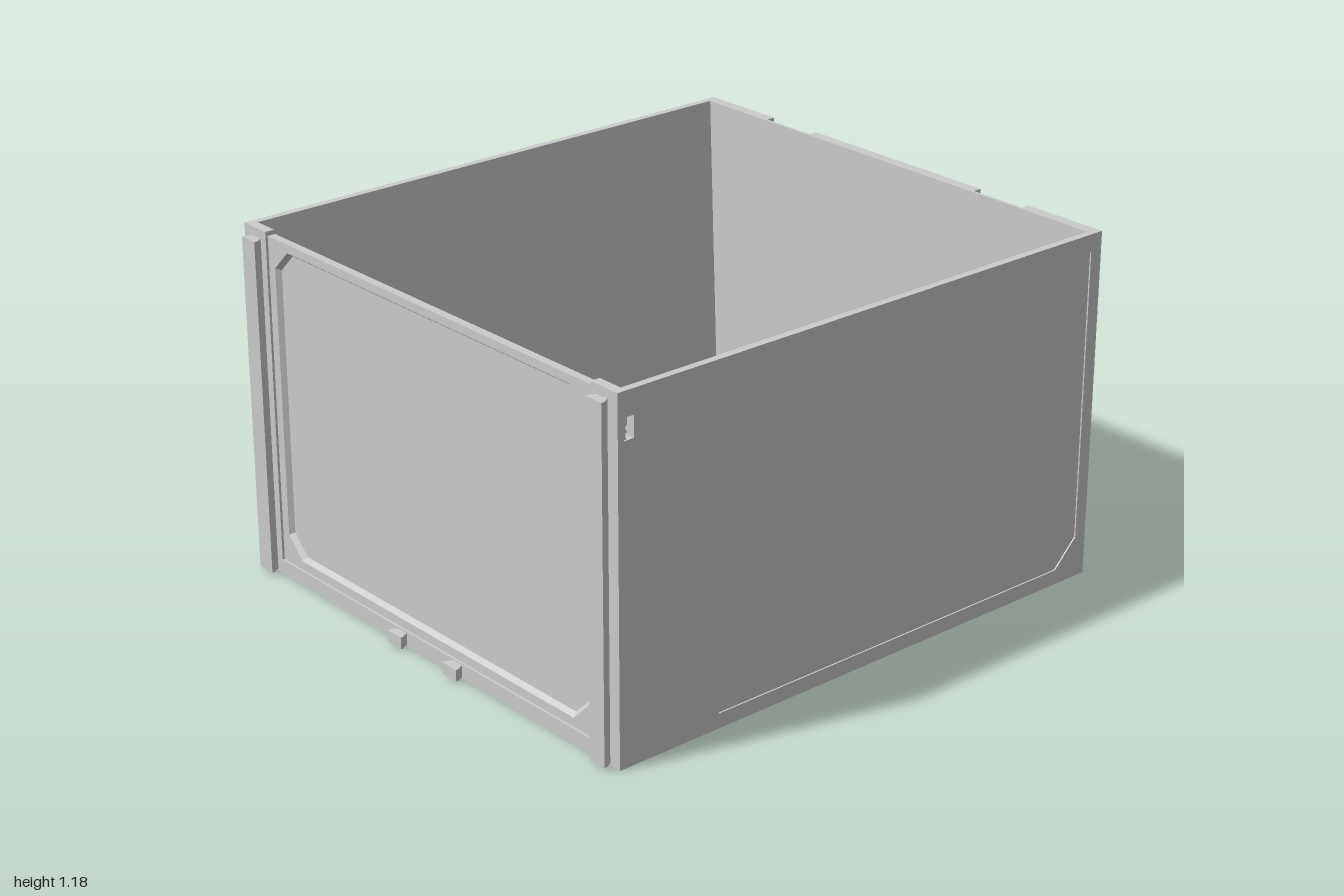
import * as THREE from 'three';

const mat = new THREE.MeshStandardMaterial({ color: 0xcccccc, flatShading: true });
const thinMat = new THREE.MeshStandardMaterial({ color: 0xcccccc, flatShading: true, side: THREE.DoubleSide });
const V = (x, y) => new THREE.Vector2(x, y);

// Rectangle with cut corners: c = [bottom left, bottom right, top right, top left]
function cutRect(x0, x1, y0, y1, c = [0, 0, 0, 0]) {
  const p = [];
  const add = (ax, ay, bx, by, cut) => cut ? p.push(V(ax, ay), V(bx, by)) : p.push(V(ax, ay));
  add(x0, y0 + c[0], x0 + c[0], y0, c[0]);
  add(x1 - c[1], y0, x1, y0 + c[1], c[1]);
  add(x1, y1 - c[2], x1 - c[2], y1, c[2]);
  add(x0 + c[3], y1, x0, y1 - c[3], c[3]);
  return p;
}

// Rounded square outline
function roundSquare(cx, cy, h, r) {
  const p = [];
  for (let q = 0; q < 4; q++) for (let i = 0; i <= 4; i++) {
    const a = (q + i / 4) * Math.PI / 2;
    const sx = q === 0 || q === 3 ? 1 : -1, sy = q < 2 ? 1 : -1;
    p.push(V(cx + sx * (h - r) + r * Math.cos(a), cy + sy * (h - r) + r * Math.sin(a)));
  }
  return p;
}

// Cross opening that leaves a rounded pad in each corner of a cell
function crossOutline(cx, cy) {
  const H = 0.215, o = 0.143, r = 0.08;
  const quarter = [V(H, 0.09), V(H - 0.027, o - r)];
  for (let i = 0; i <= 6; i++) {
    const a = -Math.PI / 2 - (i / 6) * Math.PI / 2;
    quarter.push(V(o + r * Math.cos(a), o + r * Math.sin(a)));
  }
  quarter.push(V(o - r, H - 0.027), V(0.09, H));
  const p = [];
  for (let q = 0; q < 4; q++)
    for (const v of quarter) p.push(v.clone().rotateAround(V(0, 0), q * Math.PI / 2).add(V(cx, cy)));
  return p;
}

const circle = (cx, cy, r) => new THREE.Path().absarc(cx, cy, r, 0, Math.PI * 2).getPoints(10).slice(0, -1);

function extrude(outline, holes, depth, z = 0) {
  const s = new THREE.Shape(outline);
  s.holes = holes.map(h => new THREE.Path(h));
  return new THREE.ExtrudeGeometry(s, { depth, bevelEnabled: false }).translate(0, 0, z);
}

// Sloped skin between two outlines with equal point counts
function skin(a, za, b, zb) {
  const pos = [];
  a.forEach((p, i) => {
    const j = (i + 1) % a.length, q = a[j], s = b[i], t = b[j];
    pos.push(p.x, p.y, za, q.x, q.y, za, t.x, t.y, zb, p.x, p.y, za, t.x, t.y, zb, s.x, s.y, zb);
  });
  const g = new THREE.BufferGeometry();
  g.setAttribute('position', new THREE.Float32BufferAttribute(pos, 3));
  g.computeVertexNormals();
  return g;
}

// Reflect in x and restore the winding
function mirrorX(geo) {
  const g = geo.clone().scale(-1, 1, 1);
  const p = g.attributes.position;
  for (let i = 0; i < p.count; i += 3) {
    const a = new THREE.Vector3().fromBufferAttribute(p, i + 1);
    const b = new THREE.Vector3().fromBufferAttribute(p, i + 2);
    p.setXYZ(i + 1, b.x, b.y, b.z);
    p.setXYZ(i + 2, a.x, a.y, a.z);
  }
  g.computeVertexNormals();
  return g;
}

export function createModel() {
  const root = new THREE.Group();
  root.name = 'storageBin';
  const add = (name, geo, m = mat) => {
    const mesh = new THREE.Mesh(geo, m);
    mesh.name = name;
    root.add(mesh);
  };
  const box = (name, x0, x1, y0, y1, z0, z1) => add(name,
    new THREE.BoxGeometry(x1 - x0, y1 - y0, z1 - z0).translate((x0 + x1) / 2, (y0 + y1) / 2, (z0 + z1) / 2));
  const pair = (name, geo) => {
    add('left' + name, geo);
    add('right' + name, mirrorX(geo));
  };

  // Floor: stacked layers with cell openings, screw holes and a closed side tray
  const cells = [];
  for (const x of [-0.587, -0.117, 0.353])
    for (const z of [-0.71, -0.24, 0.23, 0.7]) cells.push([x, -z]);
  const screws = r => cells.flatMap(([x, y]) =>
    [[1, 1], [1, -1], [-1, 1], [-1, -1]].map(([i, j]) => circle(x + i * 0.143, y + j * 0.143, r)));
  const crosses = cells.map(c => crossOutline(...c));
  const tray = e => {
    const x0 = 0.6 - e, x1 = 0.812 + e, p = [V(x0 + 0.02, -0.93 - e), V(x1 - 0.02, -0.93 - e), V(x1, -0.91 - e)];
    const necks = [-0.465, 0.005, 0.475];
    for (const y of necks) p.push(V(x1, y - 0.04), V(x1 - 0.03, y - 0.02), V(x1 - 0.03, y + 0.02), V(x1, y + 0.04));
    p.push(V(x1, 0.91 + e), V(x1 - 0.02, 0.93 + e), V(x0 + 0.02, 0.93 + e), V(x0, 0.91 + e));
    for (const y of necks.reverse()) p.push(V(x0, y + 0.04), V(x0 + 0.03, y + 0.02), V(x0 + 0.03, y - 0.02), V(x0, y - 0.04));
    p.push(V(x0, -0.91 - e));
    return p;
  };
  const slab = cutRect(-0.87, 0.87, -0.945, 0.965);
  const floorLayer = (name, holes, y, h) => add(name, extrude(slab, holes, h, y).rotateX(-Math.PI / 2));
  const pockets = (h, e) => [...cells.map(c => roundSquare(...c, h, 0.04)), tray(e)];
  floorLayer('floorBase', [...crosses, ...screws(0.018)], 0, 0.018);
  floorLayer('cornerPads', [...crosses, ...screws(0.036)], 0.018, 0.014);
  floorLayer('cellGridLower', pockets(0.216, -0.006), 0.032, 0.025);
  floorLayer('cellGridUpper', pockets(0.226, 0.003), 0.057, 0.023);
  const wide = cells.map(c => roundSquare(...c, 0.226, 0.04));
  cells.forEach((c, i) => add('cellBevel',
    skin(wide[i], 0.08, roundSquare(...c, 0.216, 0.04), 0.05).rotateX(-Math.PI / 2), thinMat));

  // Side walls: tapered on the inside, shallow inset panel outside, small window near the front
  const rect = cutRect(-0.968, 0.97, 0, 1.18);
  const win = cutRect(-0.945, -0.91, 1.03, 1.1);
  const wall = extrude(rect, [win], 1).rotateY(Math.PI / 2);
  const wp = wall.attributes.position;
  for (let i = 0; i < wp.count; i++)
    wp.setX(i, wp.getX(i) > 0.5 ? 0.9 : 0.83 + 0.05 * wp.getY(i) / 1.18);
  wall.computeVertexNormals();
  pair('SideWall', wall);
  const panel = cutRect(-0.87, 0.955, 0.05, 1.12, [0.285, 0.09, 0, 0.09]);
  pair('SideFrame', extrude(rect, [win, panel], 0.005, 0.9).rotateY(Math.PI / 2));

  // Back wall: notched frame with bevelled recesses
  const slots = [[0.385, 0.595], [-0.595, -0.385]];
  const outline = [V(-0.905, 0), V(0.905, 0), V(0.905, 1.18)];
  for (const [a, b] of slots) outline.push(V(b, 1.18), V(b, 0.93), V(a, 0.93), V(a, 1.18));
  outline.push(V(-0.905, 1.18));
  const recesses = [[0.62, 0.88, 1.13], [0.395, 0.595, 0.88], [-0.37, 0.37, 1.13], [-0.595, -0.395, 0.88], [-0.88, -0.62, 1.13]];
  add('backFrame', extrude(outline, recesses.map(([a, b, t]) => cutRect(a, b, 0.02, t)), 0.03, -1));
  for (const [a, b, t] of recesses)
    add('backRecessBevel', skin(cutRect(a, b, 0.02, t), -1,
      cutRect(a + 0.04, b - 0.04, 0.06, t - 0.04), -0.97), thinMat);
  box('backPlate', -0.885, 0.885, 0, 1.18, -0.97, -0.96);
  for (const [a, b] of slots) {
    const c = (a + b) / 2;
    box('slotCatch', c - 0.05, c + 0.05, 0.93, 0.95, -0.997, -0.97);
  }

  // Front wall: recessed panel with cut corners
  const cut = c => [c, c, c, c];
  const edge = cutRect(-0.757, 0.757, 0.08, 1.137, cut(0.07));
  const inner = cutRect(-0.745, 0.745, 0.092, 1.125, cut(0.065));
  add('frontFrame', extrude(cutRect(-0.8, 0.8, 0, 1.165), [edge], 0.02, 0.94));
  add('frontPanelBevel', skin(edge, 0.96, inner, 0.944), thinMat);
  box('frontPanel', -0.8, 0.8, 0, 1.165, 0.932, 0.944);
  box('bottomRail', -0.79, 0.79, 0, 0.05, 0.94, 0.968);
  for (const s of [-1, 1])
    box('frontPost', Math.min(s * 0.79, s * 0.9), Math.max(s * 0.79, s * 0.9), 0, 1.18, 0.935, 0.968);

  // Dovetail rails and bottom tabs
  const dovetail = (name, x, y, h) => add(name, extrude(
    [V(x - 0.02, -0.965), V(x - 0.034, -0.99), V(x - 0.034, -1), V(x + 0.034, -1), V(x + 0.034, -0.99), V(x + 0.02, -0.965)],
    [], h, y).rotateX(-Math.PI / 2));
  for (const s of [-1, 1]) {
    dovetail('frontRail', s * 0.84, 0.008, 1.142);
    dovetail('frontTab', s * 0.14, 0.005, 0.04);
  }
  return root;
}
